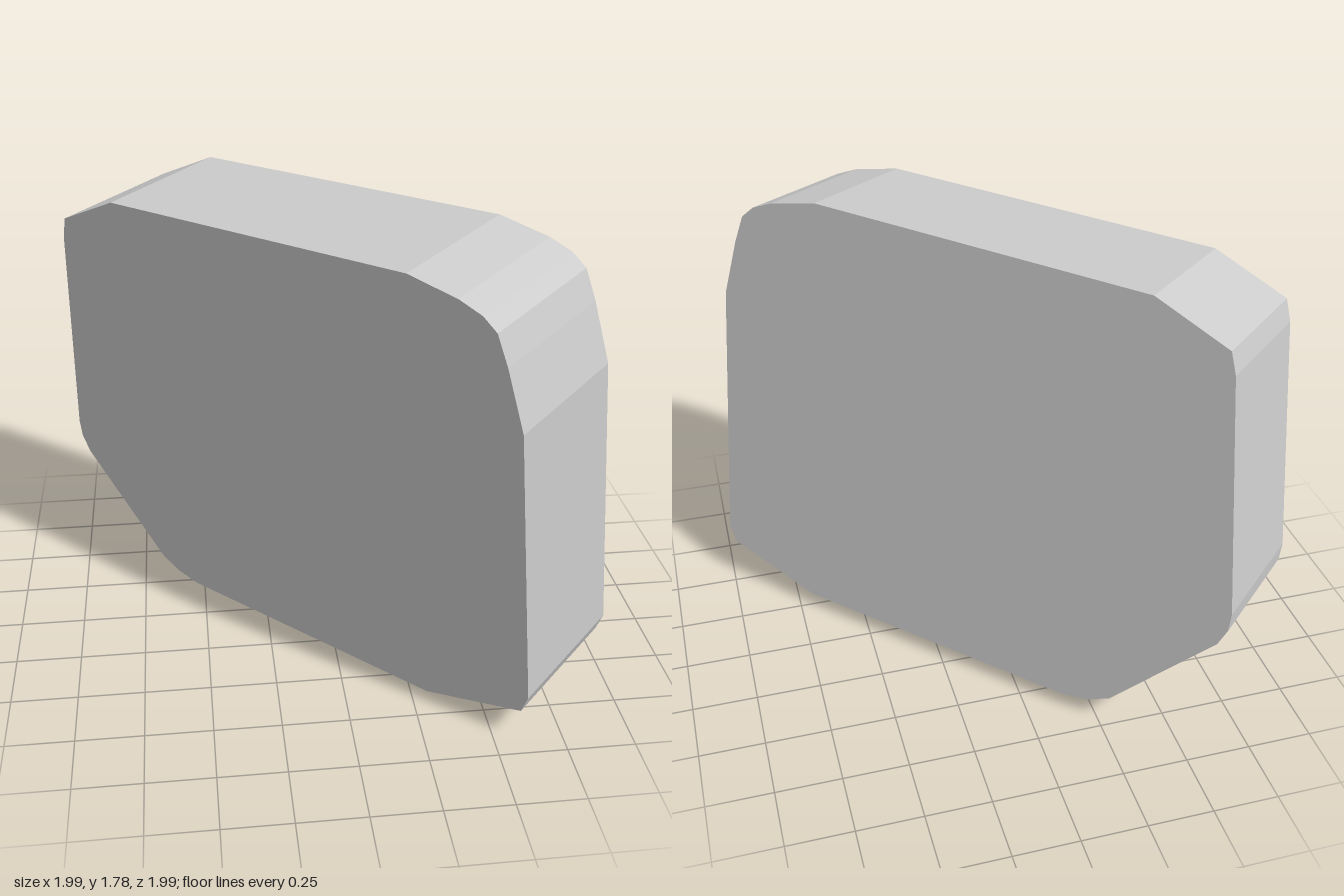
import * as THREE from 'three';

// Outline of the front face, projected on the xy plane (counter-clockwise)
const OUTLINE = [
  [-0.53, 0.004], [0.31, 0.01], [0.59, 0.13], [0.605, 0.205],
  [0.502, 1.28], [0.445, 1.5], [0.41, 1.61], [0.37, 1.655], [0.305, 1.69], [0.165, 1.73],
  [-0.78, 1.7], [-0.97, 1.58], [-0.982, 1.5],
  [-1, 0.62], [-0.992, 0.55], [-0.965, 0.48],
  [-0.67, 0.07], [-0.605, 0.025],
];

// Front plane: z = OFFSET + SLOPE_X * x + SLOPE_Y * y
const OFFSET = 0.311, SLOPE_X = 1.005, SLOPE_Y = 0.146;

// Thickness vector, from the front face to the back face
const THICK = new THREE.Vector3(0.387, 0.056, -0.384);

export function createModel() {
  const group = new THREE.Group();
  group.name = 'tiltedSlab';

  const grey = new THREE.MeshStandardMaterial({ color: 0xcccccc });
  grey.name = 'light grey';
  grey.flatShading = true;

  // Extrude one unit, then lean the block so z = 1 becomes the front face
  const shape = new THREE.Shape(OUTLINE.map(([x, y]) => new THREE.Vector2(x, y)));
  const geometry = new THREE.ExtrudeGeometry(shape, { depth: 1, bevelEnabled: false });
  geometry.applyMatrix4(new THREE.Matrix4().set(
    1, 0, -THICK.x, THICK.x,
    0, 1, -THICK.y, THICK.y,
    SLOPE_X, SLOPE_Y, -THICK.z, OFFSET + THICK.z,
    0, 0, 0, 1,
  ));
  geometry.computeVertexNormals();

  const slab = new THREE.Mesh(geometry, grey);
  slab.name = 'slab';
  group.add(slab);
  return group;
}
